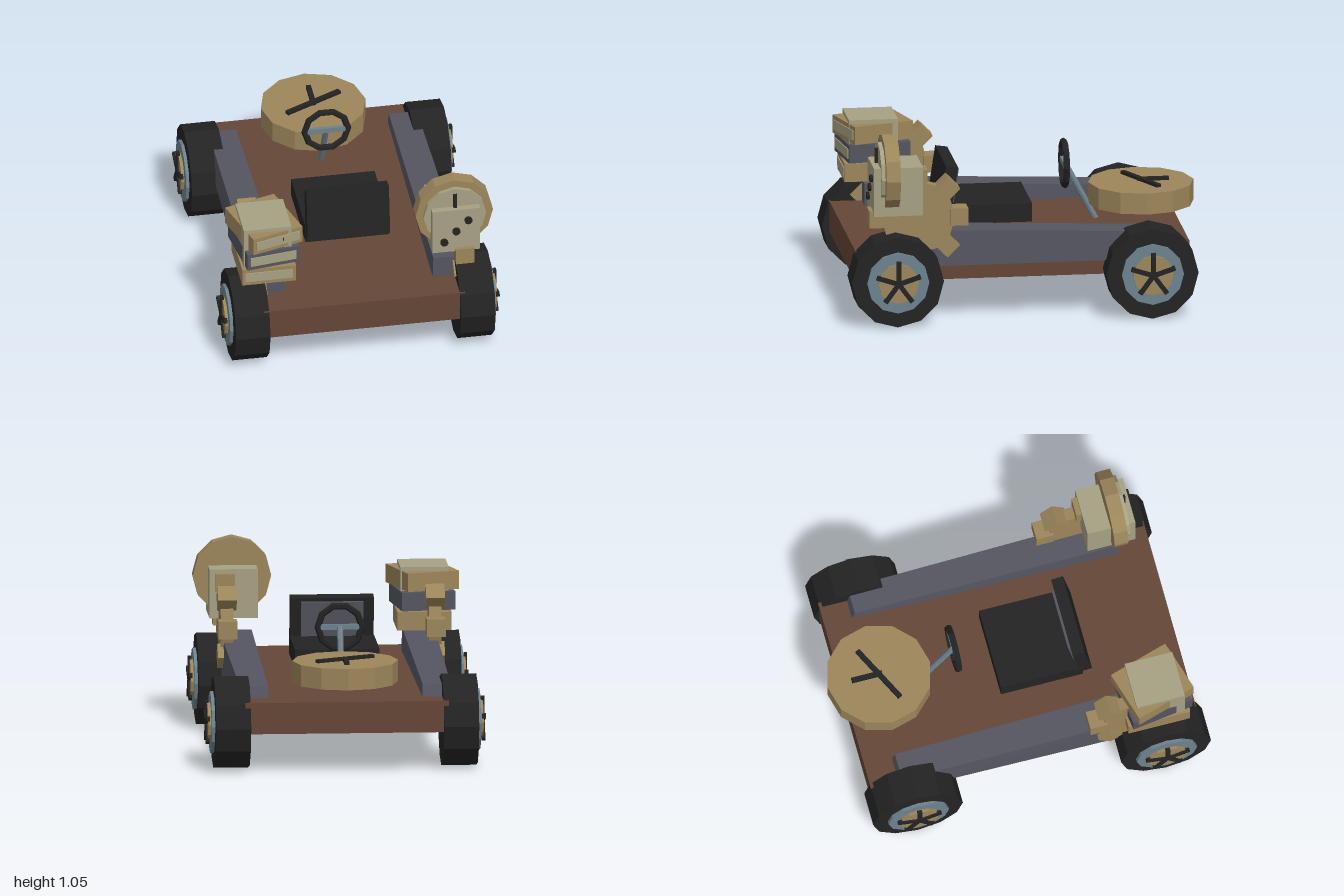
import * as THREE from 'three';

const mat = (name, color) => {
  const m = new THREE.MeshStandardMaterial({ color, flatShading: true });
  m.name = name;
  return m;
};

export function createModel() {
  const brown = mat('brown wood', 0x644636);
  const tan = mat('tan', 0x9c865b);
  const cream = mat('cream', 0xa6a183);
  const slate = mat('slate', 0x555561);
  const black = mat('black', 0x232323);
  const steel = mat('steel blue', 0x6d828d);

  const root = new THREE.Group();
  root.name = 'kart';

  const add = (parent, name, geo, material, x, y, z) => {
    const mesh = new THREE.Mesh(geo, material);
    mesh.name = name;
    mesh.position.set(x, y, z);
    parent.add(mesh);
    return mesh;
  };
  const box = (parent, name, material, w, h, d, x, y, z) =>
    add(parent, name, new THREE.BoxGeometry(w, h, d), material, x, y, z);
  // Faceted disc with its axis along x, y or z
  const disc = (parent, name, material, r, t, axis, x, y, z, sides = 12) => {
    const geo = new THREE.CylinderGeometry(r, r, t, sides);
    if (axis === 'x') geo.rotateZ(Math.PI / 2);
    if (axis === 'z') geo.rotateX(Math.PI / 2);
    return add(parent, name, geo, material, x, y, z);
  };
  const group = (name, x, y, z) => {
    const g = new THREE.Group();
    g.name = name;
    g.position.set(x, y, z);
    root.add(g);
    return g;
  };

  // Deck
  box(root, 'deck', brown, 1.13, 0.175, 1.865, 0, 0.3125, 0.028);

  for (const s of [1, -1]) {
    // Side rails: narrower and lower toward the rear
    const railGeo = new THREE.BoxGeometry(0.19, 0.2, 1.55);
    const p = railGeo.attributes.position;
    for (let i = 0; i < p.count; i++) {
      const top = p.getY(i) > 0;
      const rear = p.getZ(i) < 0;
      const half = (top ? 0.09 : 0.098) * (rear ? 0.87 : 1);
      const y = top ? (rear ? 0.465 : 0.524) : 0.31;
      const z = rear ? (top ? -0.73 : -0.77) : 0.78;
      p.setXYZ(i, Math.sign(p.getX(i)) * half, y, z);
    }
    railGeo.computeVertexNormals();
    add(root, 'sideRail', railGeo, slate, s * 0.508, 0, 0);

    // Wheels with five-spoked hubs
    for (const z of [0.745, -0.678]) {
      const w = group('wheel', 0, 0.258, z);
      disc(w, 'tire', black, 0.257, 0.194, 'x', s * 0.633, 0, 0);
      disc(w, 'rim', steel, 0.173, 0.03, 'x', s * 0.733, 0, 0);
      disc(w, 'hub', tan, 0.113, 0.02, 'x', s * 0.755, 0, 0);
      for (let i = 0; i < 5; i++) {
        const spoke = new THREE.BoxGeometry(0.02, 0.13, 0.026);
        spoke.translate(0, 0.063, 0);
        spoke.rotateX((i * Math.PI * 2) / 5);
        add(w, 'spoke', spoke, black, s * 0.766, 0, 0);
      }
    }

    // Upright cogs with eight square teeth
    const cog = group('cog', s * 0.578, 0.595, 0.615);
    disc(cog, 'cogBody', tan, 0.205, 0.07, 'x', 0, 0, 0);
    for (let i = 0; i < 8; i++) {
      const a = (i * Math.PI) / 4;
      box(cog, 'cogTooth', tan, 0.105, 0.098, 0.098, 0, Math.sin(a) * 0.228, Math.cos(a) * 0.228)
        .rotation.x = -a;
    }

    // Cream housing with three dots
    const housing = group('housing', s * 0.53, 0.758, 0.733);
    box(housing, 'housingBox', cream, 0.268, 0.275, 0.274, 0, 0, 0);
    for (const k of [-1, 0, 1])
      disc(housing, 'dot', black, 0.022, 0.03, 'z', k * 0.068, k * 0.067, 0.138, 10);
  }

  // Dial standing around the left housing
  disc(root, 'dialRim', tan, 0.218, 0.08, 'z', 0.53, 0.837, 0.77);
  disc(root, 'dialFace', cream, 0.176, 0.025, 'z', 0.53, 0.837, 0.82);
  box(root, 'dialHand', black, 0.02, 0.14, 0.02, 0.53, 0.91, 0.838);

  // Twisted stack of books around the right housing
  const books = [
    [0.6, 0.0, tan],
    [0.711, 0.14, slate],
    [0.822, 0.29, tan],
  ];
  for (const [y, turn, cover] of books) {
    const b = group('book', -0.526, y, 0.72);
    b.rotation.y = turn;
    box(b, 'bookCover', cover, 0.302, 0.103, 0.353, 0, 0, 0);
    box(b, 'bookPages', cream, 0.266, 0.055, 0.02, 0, 0, 0.172);
  }

  // Seat with a tilted back
  box(root, 'seatCushion', black, 0.47, 0.105, 0.47, 0, 0.502, 0.165);
  const back = group('seatBack', 0, 0.633, 0.398);
  back.rotation.x = -0.15;
  box(back, 'seatBackFrame', black, 0.464, 0.29, 0.068, 0, 0, 0);
  box(back, 'seatBackPad', slate, 0.345, 0.22, 0.03, 0, 0.015, -0.034);

  // Steering wheel and column
  const wheel = group('steeringWheel', 0, 0.716, -0.28);
  add(wheel, 'steeringRing', new THREE.TorusGeometry(0.122, 0.019, 6, 10), black, 0, 0, 0);
  box(wheel, 'steeringBar', steel, 0.22, 0.03, 0.02, 0, 0, 0);
  const column = disc(root, 'steeringColumn', steel, 0.017, 0.37, 'y', 0, 0.553, -0.371, 8);
  column.rotation.x = 0.49;

  // Large flat clock at the rear
  const clock = group('rearClock', 0, 0, -0.708);
  disc(clock, 'clockBody', tan, 0.294, 0.12, 'y', 0, 0.542, 0);
  box(clock, 'shortHand', black, 0.028, 0.02, 0.175, 0, 0.61, -0.068);
  box(clock, 'longHand', black, 0.36, 0.02, 0.028, 0, 0.61, 0).rotation.y = 0.46;

  return root;
}
